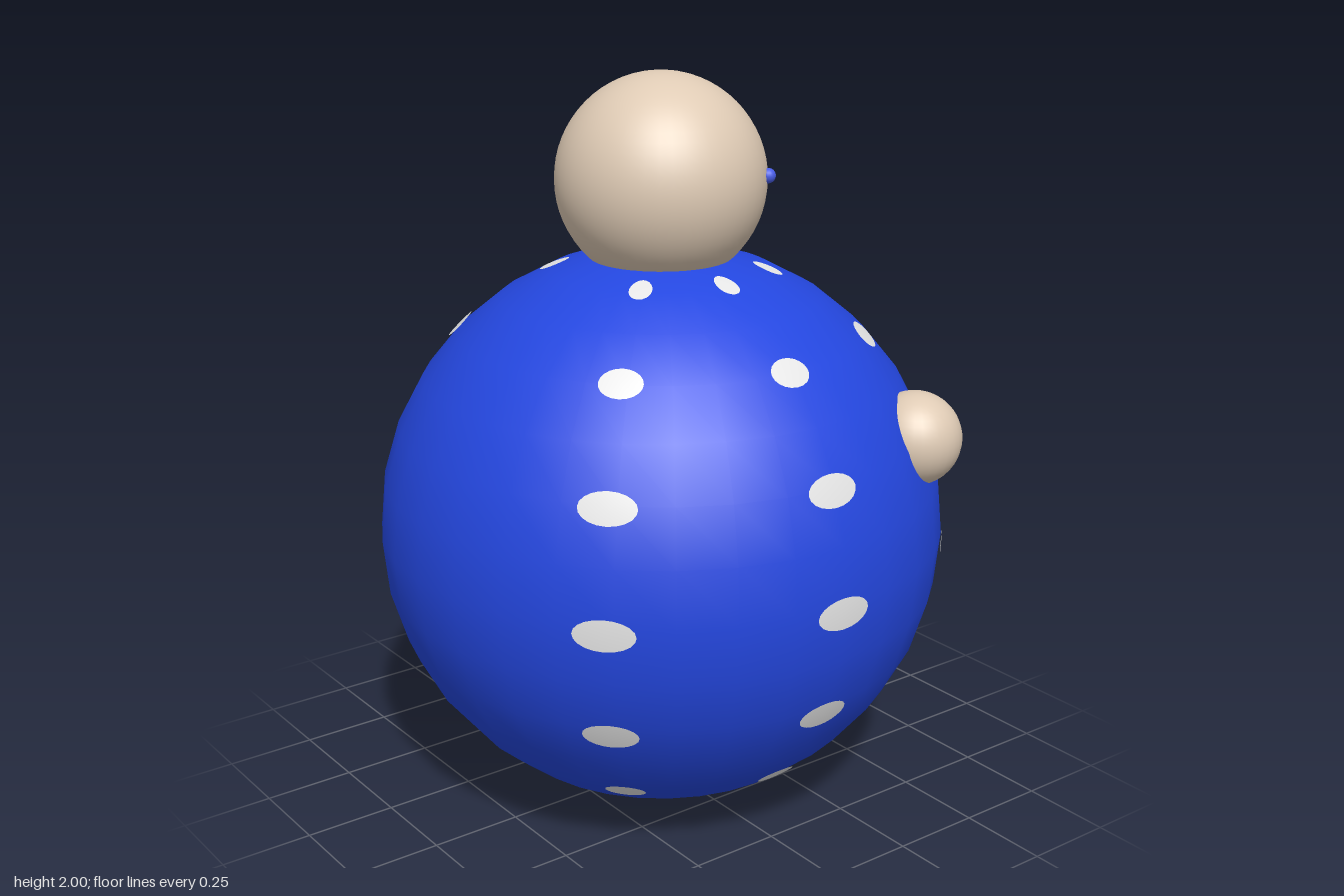
import * as THREE from 'three';

const BODY_Y = 0.772, BODY_R = 0.77;
const rad = THREE.MathUtils.degToRad;

function material(name, color) {
  const m = new THREE.MeshStandardMaterial({ color });
  m.name = name;
  return m;
}

function ball(name, r, x, y, z, mat, w = 48, h = 32) {
  const mesh = new THREE.Mesh(new THREE.SphereGeometry(r, w, h), mat);
  mesh.name = name;
  mesh.position.set(x, y, z);
  return mesh;
}

// Oval patch wrapped on the body; lon runs from +z to +x, polar from the top
function spotGeometry(lon, polar) {
  const g = new THREE.CircleGeometry(1, 20);
  const p = g.attributes.position, n = g.attributes.normal;
  const v = new THREE.Vector3();
  for (let i = 0; i < p.count; i++) {
    v.setFromSphericalCoords(1, polar - p.getY(i) * 0.055, lon + p.getX(i) * 0.104);
    n.setXYZ(i, v.x, v.y, v.z);
    v.multiplyScalar(BODY_R + 0.003);
    p.setXYZ(i, v.x, v.y, v.z);
  }
  return g;
}

export function createModel() {
  const model = new THREE.Group();
  model.name = 'roundFigure';
  const blue = material('bodyBlue', 0x2447e0);
  const skin = material('skinBeige', 0xdfcbb5);
  const white = material('spotWhite', 0xe6e6e6);
  const eyeBlue = material('eyeBlue', 0x4a5ee8);

  // Body and head
  model.add(ball('body', BODY_R, 0, BODY_Y, 0, blue, 32, 16));
  model.add(ball('head', 0.28, 0, 1.72, 0, skin));

  // Hands and eyes, mirrored front to back
  for (const s of [1, -1]) {
    model.add(ball('hand', 0.126, 0.424, 1.067, s * 0.547, skin, 32, 24));
    model.add(ball('eye', 0.02, 0.199, 1.735, s * 0.199, eyeBlue, 16, 12));
  }

  // Seven columns of seven spots, with a gap at the -x side
  const spots = new THREE.Group();
  spots.name = 'spots';
  spots.position.y = BODY_Y;
  for (let c = 0; c < 7; c++) {
    for (let r = 0; r < 7; r++) {
      const spot = new THREE.Mesh(spotGeometry(rad(-46.9 + 46.1 * c), rad(21.6 + 23.2 * r)), white);
      spot.name = 'spot';
      spots.add(spot);
    }
  }
  model.add(spots);
  return model;
}
